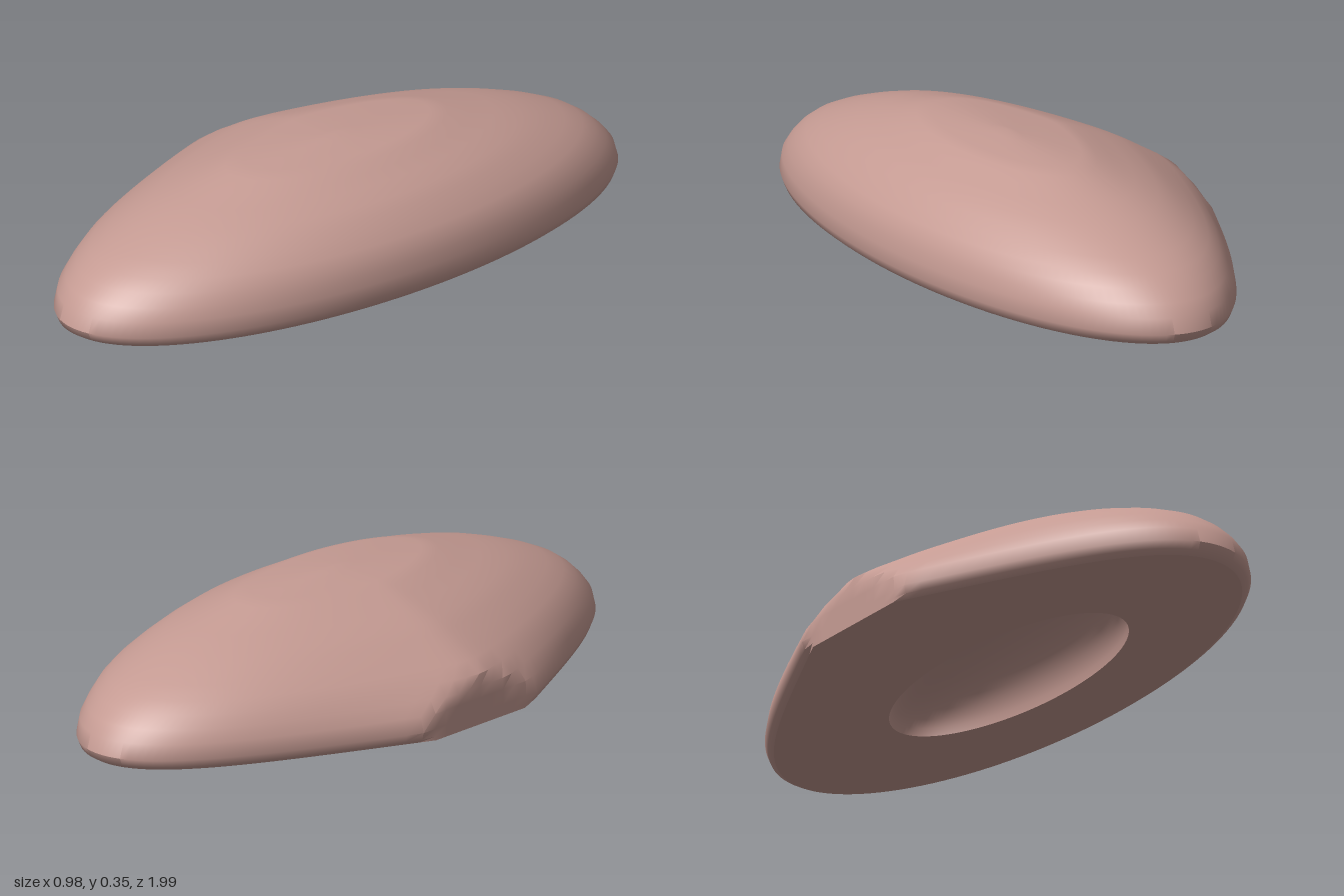
import * as THREE from 'three';
import { toCreasedNormals } from 'three/addons/utils/BufferGeometryUtils.js';

const SEGMENTS = 128;
const CENTRE_X = 0.06;
const CUT_X = -0.497;

// Closed skin lofted through horizontal rings.
// Each row: height, half width, half length, extra bulge on the -x side.
function loft(rows) {
  const positions = [];
  const index = [];
  for (const [y, width, length, bulge] of rows) {
    for (let i = 0; i < SEGMENTS; i++) {
      const a = (i / SEGMENTS) * Math.PI * 2;
      const c = Math.cos(a);
      const s = Math.sin(a);
      let x = CENTRE_X + width * c;
      // The bulge narrows to a rounded ridge and is sliced off flat
      if (c < 0) x -= bulge * Math.max(0, 1.03 - Math.hypot(s, 0.05)) ** 2;
      positions.push(Math.max(x, CUT_X), y, length * s);
    }
  }
  for (let r = 0; r < rows.length - 1; r++) {
    for (let i = 0; i < SEGMENTS; i++) {
      const j = (i + 1) % SEGMENTS;
      const a = r * SEGMENTS + i, b = r * SEGMENTS + j;
      const c = a + SEGMENTS, d = b + SEGMENTS;
      index.push(a, c, b, b, c, d);
    }
  }
  const geometry = new THREE.BufferGeometry();
  geometry.setAttribute('position', new THREE.Float32BufferAttribute(positions, 3));
  geometry.setIndex(index);
  return toCreasedNormals(geometry, 0.7);
}

export function createModel() {
  const group = new THREE.Group();
  const material = new THREE.MeshStandardMaterial({ color: 0xc49a92 });

  // Outer dome, from the underside edge up to the flattened crown
  const dome = [
    [0, 0.4, 0.965, 0.24],
    [0.012, 0.415, 0.985, 0.24],
    [0.035, 0.424, 0.995, 0.24],
    [0.08, 0.424, 0.98, 0.215],
    [0.115, 0.417, 0.95, 0.18],
    [0.15, 0.408, 0.91, 0.15],
    [0.18, 0.388, 0.865, 0.125],
    [0.21, 0.362, 0.8, 0.1],
    [0.24, 0.332, 0.72, 0.08],
    [0.265, 0.3, 0.645, 0.065],
    [0.29, 0.25, 0.55, 0.055],
    [0.31, 0.21, 0.46, 0.045],
    [0.328, 0.175, 0.39, 0.03],
    [0.34, 0.14, 0.33, 0.02],
    [0.341, 0.03, 0.07, 0],
    [0.35, 0, 0, 0],
  ];

  // Domed hollow, from its roof down to the rim of the opening
  const hollow = [];
  for (let i = 0; i <= 12; i++) {
    const t = (i / 12) * Math.PI / 2;
    hollow.push([0.18 * Math.cos(t), 0.2 * Math.sin(t), 0.5 * Math.sin(t), 0]);
  }

  // Flat underside between the opening and the outer edge
  const underside = [hollow[12], dome[0]];

  const add = (name, rows) => {
    const mesh = new THREE.Mesh(loft(rows), material);
    mesh.name = name;
    group.add(mesh);
  };
  add('outerDome', dome);
  add('hollow', hollow);
  add('underside', underside);
  return group;
}
